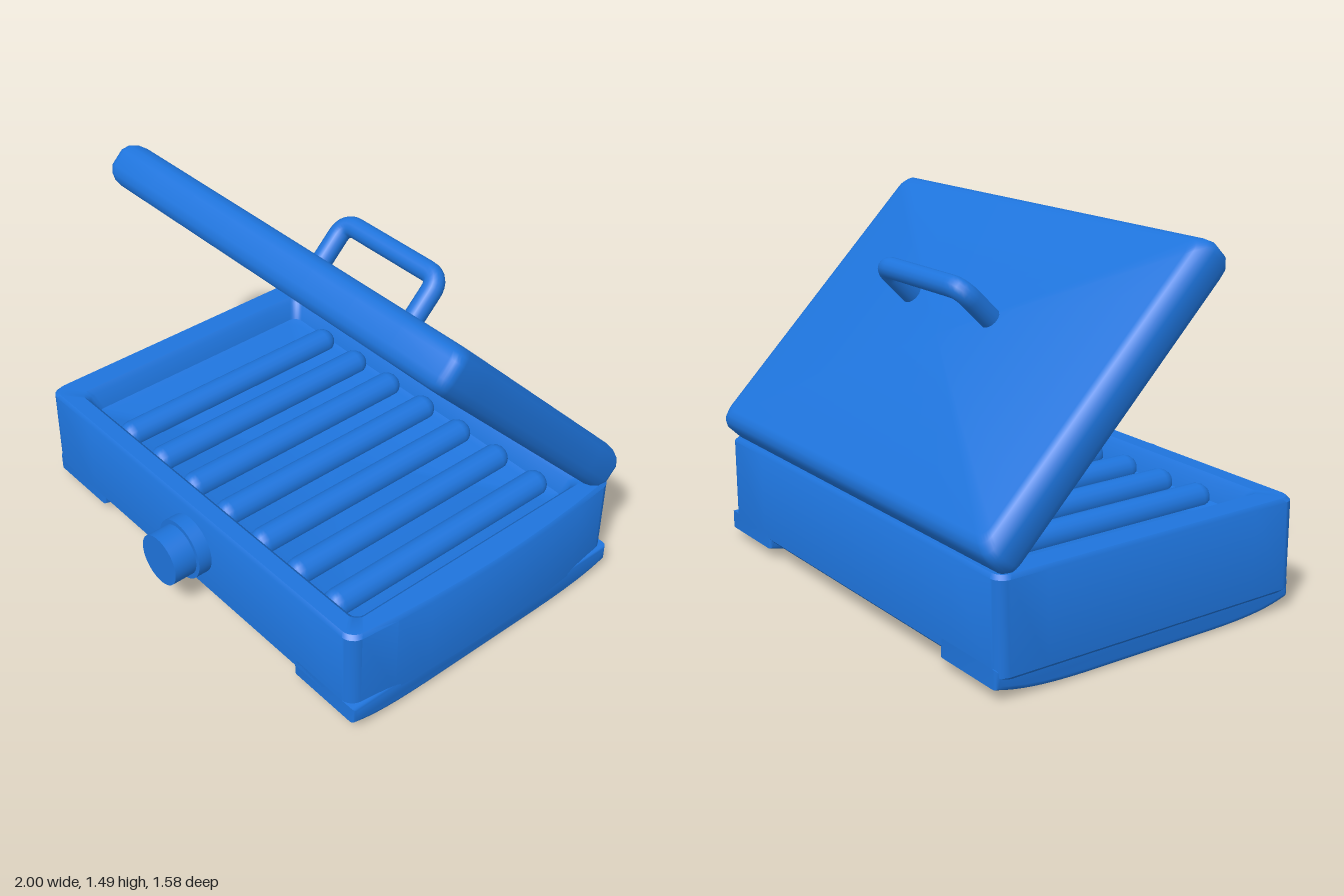
import * as THREE from 'three';
import { toCreasedNormals } from 'three/addons/utils/BufferGeometryUtils.js';

const material = new THREE.MeshStandardMaterial({ color: 0x1e74dc });

function add(parent, name, geometry, x = 0, y = 0, z = 0) {
  const mesh = new THREE.Mesh(geometry, material);
  mesh.name = name;
  mesh.position.set(x, y, z);
  parent.add(mesh);
  return mesh;
}

// Rounded rectangle with subdivided sides; bulge bows the +x side outward at mid depth
function outline({ x0, x1, z0, z1, y, r = 0.04, bulge = 0 }) {
  const points = [], arc = 6, side = 8;
  const corners = [[x1 - r, z1 - r], [x0 + r, z1 - r], [x0 + r, z0 + r], [x1 - r, z0 + r]];
  const cornerPoint = (c, k) => {
    const a = (c + k / arc) * Math.PI / 2;
    return [corners[c][0] + r * Math.cos(a), corners[c][1] + r * Math.sin(a)];
  };
  for (let c = 0; c < 4; c++) {
    for (let k = 0; k <= arc; k++) points.push(cornerPoint(c, k));
    const from = cornerPoint(c, arc), to = cornerPoint((c + 1) % 4, 0);
    for (let k = 1; k < side; k++) {
      const t = k / side;
      points.push([from[0] + (to[0] - from[0]) * t, from[1] + (to[1] - from[1]) * t]);
    }
  }
  const zm = (z0 + z1) / 2, zh = (z1 - z0) / 2 || 1;
  return points.map(([x, z]) => [x - bulge * Math.max(0, x) * ((z - zm) / zh) ** 2, y, z]);
}

// Closed skin running through a list of rings
function loft(rings) {
  const loops = rings.map(outline), n = loops[0].length, index = [];
  for (let i = 0; i < loops.length - 1; i++) {
    for (let j = 0; j < n; j++) {
      const a = i * n + j, b = i * n + (j + 1) % n;
      index.push(a, b, a + n, b, b + n, a + n);
    }
  }
  const g = new THREE.BufferGeometry();
  g.setAttribute('position', new THREE.Float32BufferAttribute(loops.flat(2), 3));
  g.setIndex(index);
  return toCreasedNormals(g, 0.7);
}

// Row of seven round grill ribs running along z
function addRibs(parent, name, radius, y, z0, z1) {
  for (let i = 0; i < 7; i++) {
    const g = new THREE.CapsuleGeometry(radius, z1 - z0 - 2 * radius, 6, 16).rotateX(Math.PI / 2);
    add(parent, name, g, -0.61 + i * 0.22, y, (z0 + z1) / 2);
  }
}

function createBase() {
  const base = new THREE.Group();
  base.name = 'base';
  const outer = (d, y) => ({ x0: -1 + d, x1: 1 - d, z0: -0.75 + d, z1: 0.64 - d, y, r: 0.05, bulge: 0.045 });
  const inner = (d, y) => ({ x0: -0.88 + d, x1: 0.88 - d, z0: -0.64 + d, z1: 0.55 - d, y });
  const centre = y => ({ x0: 0, x1: 0, z0: -0.05, z1: -0.05, y, r: 0 });
  add(base, 'tray', loft([
    centre(0.36), inner(0.06, 0.36), inner(0.035, 0.37), inner(0.01, 0.44), inner(-0.01, 0.46),
    outer(0.012, 0.46), outer(0, 0.445), outer(0, 0.09), outer(0.02, 0.07), centre(0.07),
  ]));
  addRibs(base, 'trayRib', 0.058, 0.375, -0.62, 0.545);

  // Runner feet with a shallow curved sole
  const sole = new THREE.Shape();
  sole.moveTo(-0.73, 0.1);
  sole.lineTo(-0.73, 0.06);
  sole.bezierCurveTo(-0.62, 0.03, -0.5, 0.02, -0.3, 0.02);
  sole.lineTo(0.2, 0.02);
  sole.bezierCurveTo(0.42, 0.02, 0.52, 0.03, 0.62, 0.06);
  sole.lineTo(0.62, 0.1);
  const footGeometry = toCreasedNormals(new THREE.ExtrudeGeometry(sole, {
    depth: 0.31, bevelSize: 0.02, bevelThickness: 0.02, bevelSegments: 4, curveSegments: 10,
  }).rotateY(-Math.PI / 2), 0.7);
  add(base, 'rightFoot', footGeometry, -0.655, 0, 0);
  add(base, 'leftFoot', footGeometry, 0.96, 0, 0);

  // Stepped front knob
  const knob = [[0, 0.8], [0.11, 0.8], [0.11, 0.7], [0.13, 0.7], [0.13, 0.62]]
    .map(([r, z]) => new THREE.Vector2(r, z)).reverse();
  add(base, 'knob', toCreasedNormals(new THREE.LatheGeometry(knob, 40).rotateX(Math.PI / 2), 0.6), 0, 0.27, 0);
  return base;
}

function createLid() {
  const lid = new THREE.Group();
  lid.name = 'lid';
  const outer = (d, y) => ({ x0: -1 + d, x1: 0.97 - d, z0: -0.685 + d, z1: 0.685 - d, y, r: 0.045 });
  const inner = (d, y) => ({ x0: -0.91 + d, x1: 0.89 - d, z0: -0.58 + d, z1: 0.63 - d, y });
  const centre = y => ({ x0: 0, x1: 0, z0: 0, z1: 0, y, r: 0 });
  add(lid, 'lidShell', loft([
    centre(0.092), outer(0.06, 0.092), outer(0.035, 0.085), outer(0.012, 0.065), outer(0, 0.035),
    outer(0, -0.035), outer(0.012, -0.065), outer(0.03, -0.083), outer(0.05, -0.09),
    inner(-0.005, -0.09), inner(0.005, -0.08), inner(0.025, 0), inner(0.05, 0.01), centre(0.01),
  ]));
  addRibs(lid, 'lidRib', 0.06, -0.01, -0.575, 0.62);

  // Handle: two legs and a bar with rounded corners
  const v = (x, y) => new THREE.Vector3(x, y, 0);
  const path = new THREE.CurvePath();
  path.add(new THREE.LineCurve3(v(-0.27, 0.08), v(-0.27, 0.21)));
  path.add(new THREE.QuadraticBezierCurve3(v(-0.27, 0.21), v(-0.27, 0.275), v(-0.205, 0.275)));
  path.add(new THREE.LineCurve3(v(-0.205, 0.275), v(0.205, 0.275)));
  path.add(new THREE.QuadraticBezierCurve3(v(0.205, 0.275), v(0.27, 0.275), v(0.27, 0.21)));
  path.add(new THREE.LineCurve3(v(0.27, 0.21), v(0.27, 0.08)));
  add(lid, 'handle', new THREE.TubeGeometry(path, 60, 0.043, 14), 0.04, 0, 0.13);

  // Propped open at 45 degrees on the back edge
  lid.rotation.x = -Math.PI / 4;
  lid.position.set(0, 0.969, -0.262);
  return lid;
}

export function createModel() {
  const model = new THREE.Group();
  model.name = 'contactGrill';
  model.add(createBase(), createLid());
  return model;
}
